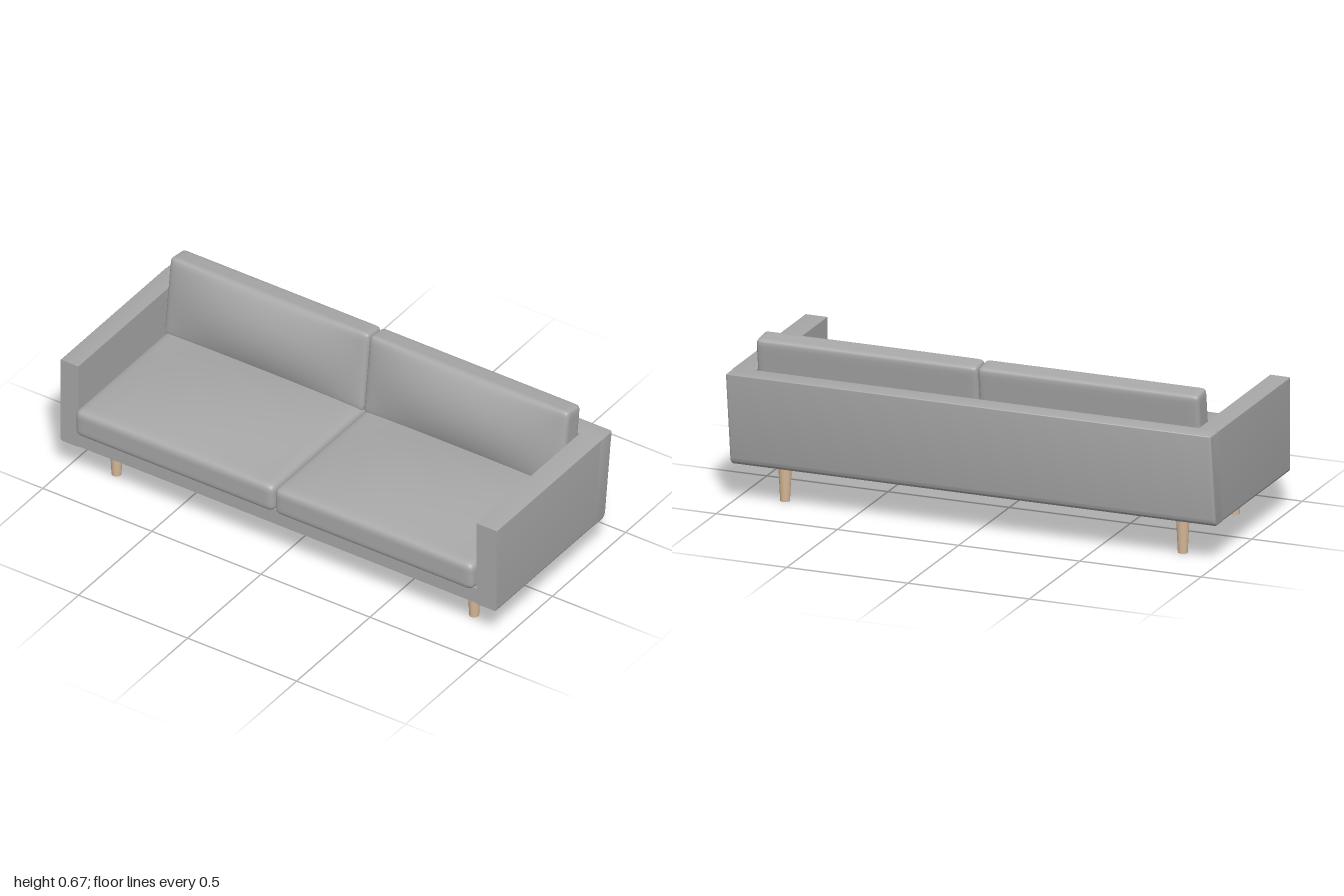
import * as THREE from 'three';
import { mergeVertices, toCreasedNormals } from 'three/addons/utils/BufferGeometryUtils.js';

const fabric = new THREE.MeshStandardMaterial({ color: 0xa8a8a8 });
fabric.name = 'grey fabric';
const wood = new THREE.MeshStandardMaterial({ color: 0xd6b998 });
wood.name = 'light wood';

function add(parent, name, geometry, material, x = 0, y = 0, z = 0) {
  const mesh = new THREE.Mesh(geometry, material);
  mesh.name = name;
  mesh.position.set(x, y, z);
  parent.add(mesh);
  return mesh;
}

// Soft box with rounded edges, crowned on the positive side of one axis
function cushionGeometry(size, radius, axis, crown) {
  const axes = ['x', 'y', 'z'];
  const half = size.clone().multiplyScalar(0.5);
  const inner = half.clone().subScalar(radius);
  const geo = new THREE.BoxGeometry(2, 2, 2, 28, 16, 24);
  geo.deleteAttribute('uv');
  geo.deleteAttribute('normal');
  const pos = geo.attributes.position;
  const p = new THREE.Vector3();
  const core = new THREE.Vector3();
  for (let i = 0; i < pos.count; i++) {
    p.fromBufferAttribute(pos, i);
    // Crowd the grid towards the edges
    for (const a of axes) p[a] = Math.sin(p[a] * Math.PI / 2) * half[a];
    core.copy(p).clamp(inner.clone().negate(), inner);
    p.sub(core).setLength(radius).add(core);
    let lift = crown * Math.max(0, p[axis] / half[axis]);
    for (const a of axes) if (a !== axis) lift *= 1 - (p[a] / half[a]) ** 2;
    p[axis] += lift;
    pos.setXYZ(i, p.x, p.y, p.z);
  }
  const merged = mergeVertices(geo, 1e-5);
  merged.computeVertexNormals();
  return merged;
}

// Upright slab running front to back, rounded along its outer bottom edge
function armGeometry(inside, outside) {
  const s = Math.sign(outside);
  const bottom = 0.155, top = 0.533, r = 0.014, e = 0.004;
  const shape = new THREE.Shape();
  shape.moveTo(inside, bottom);
  shape.lineTo(outside - s * r, bottom);
  shape.quadraticCurveTo(outside, bottom, outside, bottom + r);
  shape.lineTo(outside, top - e);
  shape.quadraticCurveTo(outside, top, outside - s * e, top);
  shape.lineTo(inside, top);
  const geo = new THREE.ExtrudeGeometry(shape, { depth: 0.72, bevelEnabled: false, curveSegments: 6 });
  geo.translate(0, 0, -0.34);
  return toCreasedNormals(geo, 0.6);
}

// Leaning back panel: side profile (z, y) extruded across the full width
function backGeometry() {
  const shape = new THREE.Shape();
  shape.moveTo(-0.28, 0.155);
  shape.lineTo(-0.325, 0.533);
  shape.lineTo(-0.405, 0.533);
  shape.quadraticCurveTo(-0.41, 0.533, -0.409, 0.526);
  shape.lineTo(-0.366, 0.185);
  shape.quadraticCurveTo(-0.362, 0.155, -0.335, 0.155);
  const b = 0.008;
  const geo = new THREE.ExtrudeGeometry(shape, {
    depth: 2 - 2 * b, bevelSize: b, bevelThickness: b, bevelOffset: -b, bevelSegments: 3, curveSegments: 8,
  });
  geo.translate(0, 0, -1 + b);
  geo.rotateY(-Math.PI / 2);
  return toCreasedNormals(geo, 0.6);
}

export function createModel() {
  const sofa = new THREE.Group();
  sofa.name = 'sofa';

  // Frame
  add(sofa, 'leftArm', armGeometry(0.908, 1), fabric);
  add(sofa, 'rightArm', armGeometry(-0.918, -1), fabric);
  add(sofa, 'backPanel', backGeometry(), fabric);
  add(sofa, 'seatBase', new THREE.BoxGeometry(1.85, 0.067, 0.708), fabric, 0, 0.1895, 0.023);

  // Cushions
  const seatGeo = cushionGeometry(new THREE.Vector3(0.912, 0.121, 0.69), 0.028, 'y', 0.04);
  const backGeo = cushionGeometry(new THREE.Vector3(0.912, 0.342, 0.098), 0.02, 'z', 0.05);
  for (const [side, x] of [['left', 0.451], ['right', -0.463]]) {
    add(sofa, side + 'SeatCushion', seatGeo, fabric, x, 0.2855, 0.065);
    add(sofa, side + 'BackCushion', backGeo, fabric, x, 0.497, -0.269).rotation.x = -0.13;
  }

  // Tapered legs
  const legGeo = new THREE.CylinderGeometry(0.027, 0.019, 0.16, 24);
  for (const x of [-0.82, 0.82]) {
    for (const z of [0.265, -0.25]) {
      add(sofa, z > 0 ? 'frontLeg' : 'backLeg', legGeo, wood, x, 0.08, z);
    }
  }
  return sofa;
}
